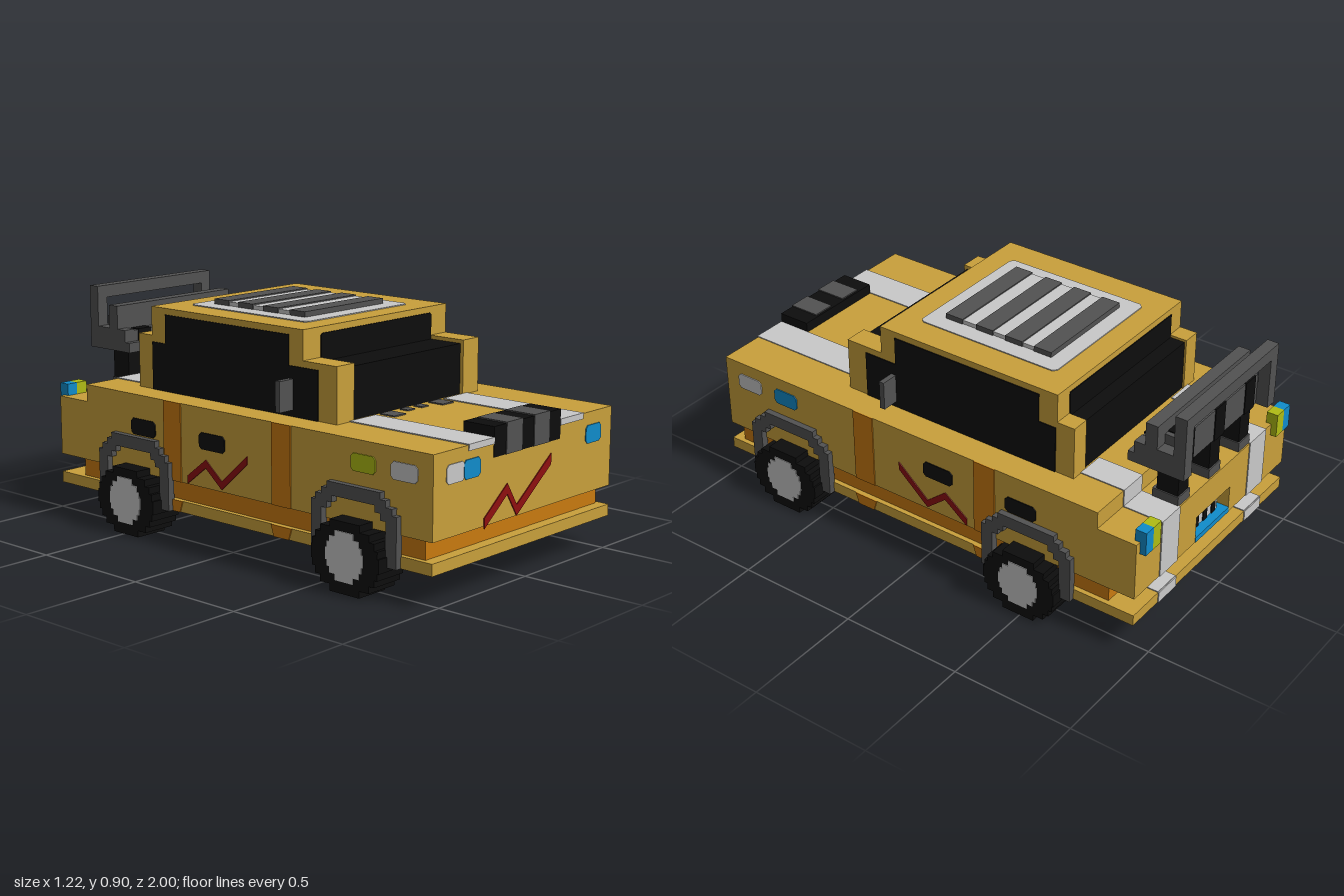
import * as THREE from 'three';

const mat = (name, color) => {
  const m = new THREE.MeshStandardMaterial({ color });
  m.name = name;
  return m;
};

export function createModel() {
  const gold = mat('gold paint', 0xc9a03b), orange = mat('orange paint', 0xc97a10);
  const black = mat('black', 0x0d0d0d), grey = mat('dark grey', 0x525252);
  const white = mat('pale grey', 0xc9c9c9), blue = mat('blue', 0x108ccb);
  const red = mat('red', 0x8f0f10), lime = mat('lime', 0xb0bc14);
  const car = new THREE.Group();
  car.name = 'pickupTruck';
  const T = 0.004; // thickness of painted plates

  const add = (name, geo, m) => {
    const mesh = new THREE.Mesh(geo, m);
    mesh.name = name;
    car.add(mesh);
    return mesh;
  };
  // Box given by its extents on each axis
  const box = (name, m, x0, x1, y0, y1, z0, z1) => {
    const g = new THREE.BoxGeometry(Math.abs(x1 - x0), y1 - y0, Math.abs(z1 - z0));
    g.translate((x0 + x1) / 2, (y0 + y1) / 2, (z0 + z1) / 2);
    return add(name, g, m);
  };
  const pair = (name, m, x0, x1, ...r) => {
    for (const s of [1, -1]) box(name, m, s * x0, s * x1, ...r);
  };
  const extrude = (pts, depth) => new THREE.ExtrudeGeometry(
    new THREE.Shape(pts.map(p => new THREE.Vector2(...p))), { depth, bevelEnabled: false });
  // Outline in (z, y), extruded outward from x0 on side s
  const side = (name, m, pts, x0, depth, s) => {
    const g = extrude(pts, depth).rotateY(-Math.PI / 2);
    g.translate(s > 0 ? x0 + depth : -x0, 0, 0);
    return add(name, g, m);
  };
  // Outline in (x, y) on the front face
  const front = (name, m, pts, z) => add(name, extrude(pts, T).translate(0, 0, z), m);
  // Rectangle with clipped corners
  const clipped = (a0, a1, b0, b1, c = 0.012) => [
    [a0 + c, b0], [a1 - c, b0], [a1, b0 + c], [a1, b1 - c],
    [a1 - c, b1], [a0 + c, b1], [a0, b1 - c], [a0, b0 + c]];
  // Zigzag line with vertical thickness t
  const zigzag = (pts, t) => [
    ...pts.map(([a, b]) => [a, b + t / 2]),
    ...[...pts].reverse().map(([a, b]) => [a, b - t / 2])];
  // Ellipse with a stepped outline
  const stepped = (cz, cy, rz, ry, rows) => {
    const half = [];
    for (let i = 0; i < rows; i++) {
      const y0 = -ry + 2 * ry * i / rows, y1 = -ry + 2 * ry * (i + 1) / rows;
      const w = rz * Math.sqrt(1 - ((y0 + y1) / 2 / ry) ** 2);
      half.push([w, y0], [w, y1]);
    }
    return [...half.map(([w, y]) => [cz + w, cy + y]),
      ...half.reverse().map(([w, y]) => [cz - w, cy + y])];
  };

  // Chassis and body, with a notch at the back for the plate
  box('bumperPlate', gold, -0.535, 0.535, 0.12, 0.165, -0.95, 0.996);
  box('sill', orange, -0.515, 0.515, 0.165, 0.24, -0.83, 0.95);
  box('body', gold, -0.535, 0.535, 0.24, 0.55, -0.785, 0.996);
  box('rearDeck', gold, -0.535, 0.535, 0.24, 0.48, -0.9, -0.785);
  pair('rearPanel', gold, 0.12, 0.535, 0.24, 0.48, -0.95, -0.9);
  box('rearPanelTop', gold, -0.12, 0.12, 0.355, 0.48, -0.95, -0.9);
  box('rearPlate', white, -0.09, 0.09, 0.255, 0.345, -0.915, -0.9);
  for (const x of [-0.06, 0, 0.06]) box('plateBar', black, x - 0.014, x + 0.014, 0.255, 0.345, -0.919, -0.915);
  box('plateSill', blue, -0.12, 0.12, 0.24, 0.262, -0.952, -0.9);

  // White stripes over hood, deck and tail
  pair('hoodStripe', white, 0.2, 0.345, 0.55, 0.55 + T, 0.45, 0.998);
  pair('hoodStripeFront', white, 0.2, 0.345, 0.53, 0.55 + T, 0.996, 1);
  pair('bedStripe', white, 0.25, 0.37, 0.55, 0.55 + T, -0.785, -0.6);
  pair('stepStripe', white, 0.25, 0.37, 0.48, 0.55 + T, -0.785 - T, -0.785);
  pair('deckStripe', white, 0.25, 0.37, 0.48, 0.48 + T, -0.95, -0.785);
  pair('tailStripe', white, 0.25, 0.37, 0.24, 0.48 + T, -0.95 - T, -0.95);
  pair('bumperStripe', white, 0.25, 0.37, 0.12, 0.165, -0.95 - T, -0.95);
  pair('bumperTopStripe', white, 0.25, 0.37, 0.165, 0.165 + T, -0.95, -0.83);

  // Hood intake and vents
  box('hoodIntake', black, -0.2, 0.2, 0.48, 0.592, 0.86, 0.998);
  pair('intakeRib', grey, 0.035, 0.13, 0.48, 0.597, 0.87, 1.001);
  pair('hoodVent', grey, 0.11, 0.175, 0.55, 0.555, 0.45, 0.52);
  pair('hoodVentSmall', grey, 0.02, 0.06, 0.55, 0.555, 0.45, 0.49);

  // Cab: core, corner pillars, glass and roof
  box('cabCore', gold, -0.415, 0.415, 0.55, 0.765, -0.525, 0.285);
  box('cabTop', gold, -0.415, 0.415, 0.765, 0.88, -0.525, 0.285);
  pair('frontPillar', gold, 0.32, 0.415, 0.55, 0.765, 0.285, 0.45);
  pair('rearPillar', gold, 0.34, 0.415, 0.55, 0.765, -0.6, -0.525);
  box('windshieldLower', black, -0.32, 0.32, 0.55, 0.75, 0.285, 0.435);
  box('rearWindowLower', black, -0.34, 0.34, 0.55, 0.755, -0.592, -0.525);
  front('windshieldUpper', black, [[-0.32, 0.74], [0.32, 0.74], [0.32, 0.848], [0.313, 0.855], [-0.313, 0.855], [-0.32, 0.848]], 0.285);
  box('rearWindowUpper', black, -0.34, 0.34, 0.74, 0.855, -0.525 - T, -0.525);
  const windowShape = [[0.36, 0.55], [0.36, 0.74], [0.215, 0.74], [0.215, 0.855],
    [-0.445, 0.855], [-0.445, 0.74], [-0.52, 0.74], [-0.52, 0.55]];

  // Roof panel with slatted grille
  const panel = extrude(clipped(-0.295, 0.295, -0.19, 0.43, 0.015), T).rotateX(-Math.PI / 2);
  add('roofPanel', panel.translate(0, 0.88, 0), white);
  box('roofGrille', white, -0.222, 0.222, 0.88, 0.9, -0.36, 0.115);
  for (const z of [-0.325, -0.195, -0.06, 0.08])
    box('roofSlat', grey, -0.226, 0.226, 0.88, 0.905, z - 0.039, z + 0.039);

  for (const s of [1, -1]) {
    // Side paint, glass and handles
    side('sideWindow', black, windowShape, 0.415, T, s);
    for (const z of [0.24, -0.335]) {
      side('sideBand', orange, [[z, 0.24], [z + 0.095, 0.24], [z + 0.095, 0.55], [z, 0.55]], 0.535, T, s);
      side('sillBand', orange, [[z + 0.01, 0.12], [z + 0.085, 0.12], [z + 0.1, 0.165], [z - 0.005, 0.165]], 0.535, T, s);
    }
    for (const z of [-0.14, -0.52]) side('doorHandle', black, clipped(z, z + 0.137, 0.39, 0.455), 0.535, T, s);
    side('sideZigzag', red, zigzag([[0.115, 0.385], [-0.02, 0.265], [-0.105, 0.335], [-0.205, 0.258]], 0.032), 0.535, T, s);
    side('sideLamp', white, clipped(0.81, 0.93, 0.435, 0.5), 0.535, T, s);
    side('sideIndicator', s > 0 ? blue : lime, clipped(0.625, 0.74, 0.435, 0.5), 0.535, T, s);
    box('mirror', grey, s * 0.415, s * 0.49, 0.575, 0.692, 0.215, 0.237);

    // Tail lamps
    box('tailLampOuter', blue, s * 0.465, s * 0.512, 0.43, 0.528, -0.975, -0.928);
    box('tailLampInner', lime, s * 0.415, s * 0.465, 0.43, 0.528, -0.975, -0.928);

    // Wheels and arches
    for (const z of [0.656, -0.49]) {
      side('tyre', black, stepped(z, 0.1325, 0.16, 0.1325, 10), 0.465, 0.14, s);
      side('hub', white, stepped(z, 0.137, 0.088, 0.092, 8), 0.604, T, s);
      const outer = [[0.2, 0.12], [0.2, 0.31], [0.18, 0.31], [0.18, 0.335], [0.15, 0.335], [0.15, 0.36], [0.125, 0.36], [0.125, 0.385]];
      const inner = [[0.1, 0.335], [0.1, 0.31], [0.125, 0.31], [0.125, 0.285], [0.15, 0.285], [0.15, 0.12]];
      const flip = a => [...a].reverse().map(([w, y]) => [-w, y]);
      const arch = [...outer, ...flip(outer), ...flip(inner), ...inner].map(([w, y]) => [z + w, y]);
      side('wheelArch', grey, arch, 0.53, 0.03, s);
    }
  }

  // Front lamps and zigzag
  front('headlampLeft', blue, clipped(0.365, 0.463, 0.43, 0.5), 0.996);
  front('headlampRight', blue, clipped(-0.37, -0.277, 0.43, 0.5), 0.996);
  front('headlampRightOuter', white, clipped(-0.465, -0.365, 0.43, 0.5), 0.995);
  front('frontZigzag', red, zigzag([[-0.25, 0.25], [-0.118, 0.352], [-0.06, 0.262], [0.145, 0.415]], 0.04), 0.996);

  // Roll bar behind the bed: rear frame, lamp row, cross bar, legs
  box('frameTop', grey, -0.32, 0.32, 0.855, 0.905, -1, -0.952);
  pair('framePost', grey, 0.27, 0.32, 0.65, 0.855, -1, -0.952);
  pair('frameArm', grey, 0.27, 0.32, 0.65, 0.74, -0.952, -0.79);
  box('crossBar', grey, -0.32, 0.32, 0.74, 0.835, -0.885, -0.835);
  box('lampRow', grey, -0.27, 0.27, 0.65, 0.78, -0.95, -0.835);
  box('frontLampRow', grey, -0.27, 0.27, 0.65, 0.735, -0.835, -0.79);
  box('frontLip', grey, -0.32, 0.32, 0.65, 0.69, -0.79, -0.765);
  for (const x of [-0.215, 0, 0.215]) {
    box('lampBand', black, x - 0.035, x + 0.035, 0.647, 0.784, -0.954, -0.84);
    box('frontLampBand', black, x - 0.035, x + 0.035, 0.66, 0.739, -0.83, -0.786);
    box('leg', black, x - 0.035, x + 0.035, 0.48, 0.65, -0.94, -0.85);
    box('legFoot', grey, x - 0.04, x + 0.04, 0.48, 0.52, -0.945, -0.835);
  }
  return car;
}
